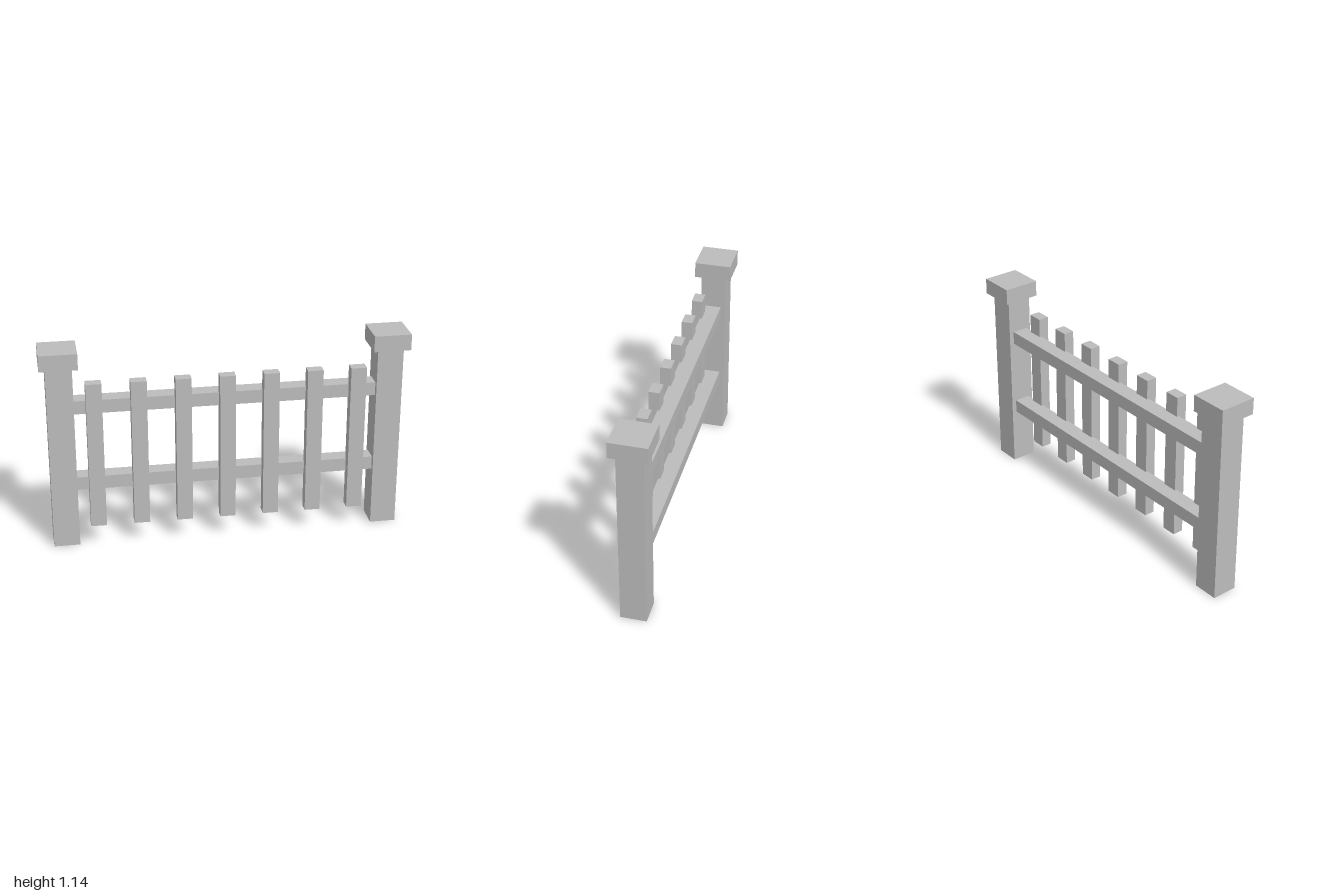
import * as THREE from 'three';

export function createModel() {
  const fence = new THREE.Group();
  fence.name = 'fence';
  const grey = new THREE.MeshStandardMaterial({ color: 0xbcbcbc });
  grey.name = 'plain grey';

  // Box spanning y0 to y1, centred on x and z
  const addBox = (name, width, depth, y0, y1, x, z = 0) => {
    const mesh = new THREE.Mesh(new THREE.BoxGeometry(width, y1 - y0, depth), grey);
    mesh.name = name;
    mesh.position.set(x, (y0 + y1) / 2, z);
    fence.add(mesh);
  };

  // End posts with overhanging caps
  for (const [side, sign] of [['left', 1], ['right', -1]]) {
    addBox(`${side}Post`, 0.143, 0.143, 0, 1.05, sign * 0.897);
    addBox(`${side}PostCap`, 0.205, 0.205, 1.05, 1.14, sign * 0.8975);
  }

  // Horizontal rails between the posts
  addBox('lowerRail', 1.655, 0.09, 0.325, 0.4, 0);
  addBox('upperRail', 1.655, 0.09, 0.775, 0.85, 0);

  // Pickets let into the front of the rails
  for (let i = -3; i <= 3; i++) {
    addBox(`picket${i + 4}`, 0.086, 0.06, 0.12, 0.96, i * 0.2395, 0.063);
  }
  return fence;
}
